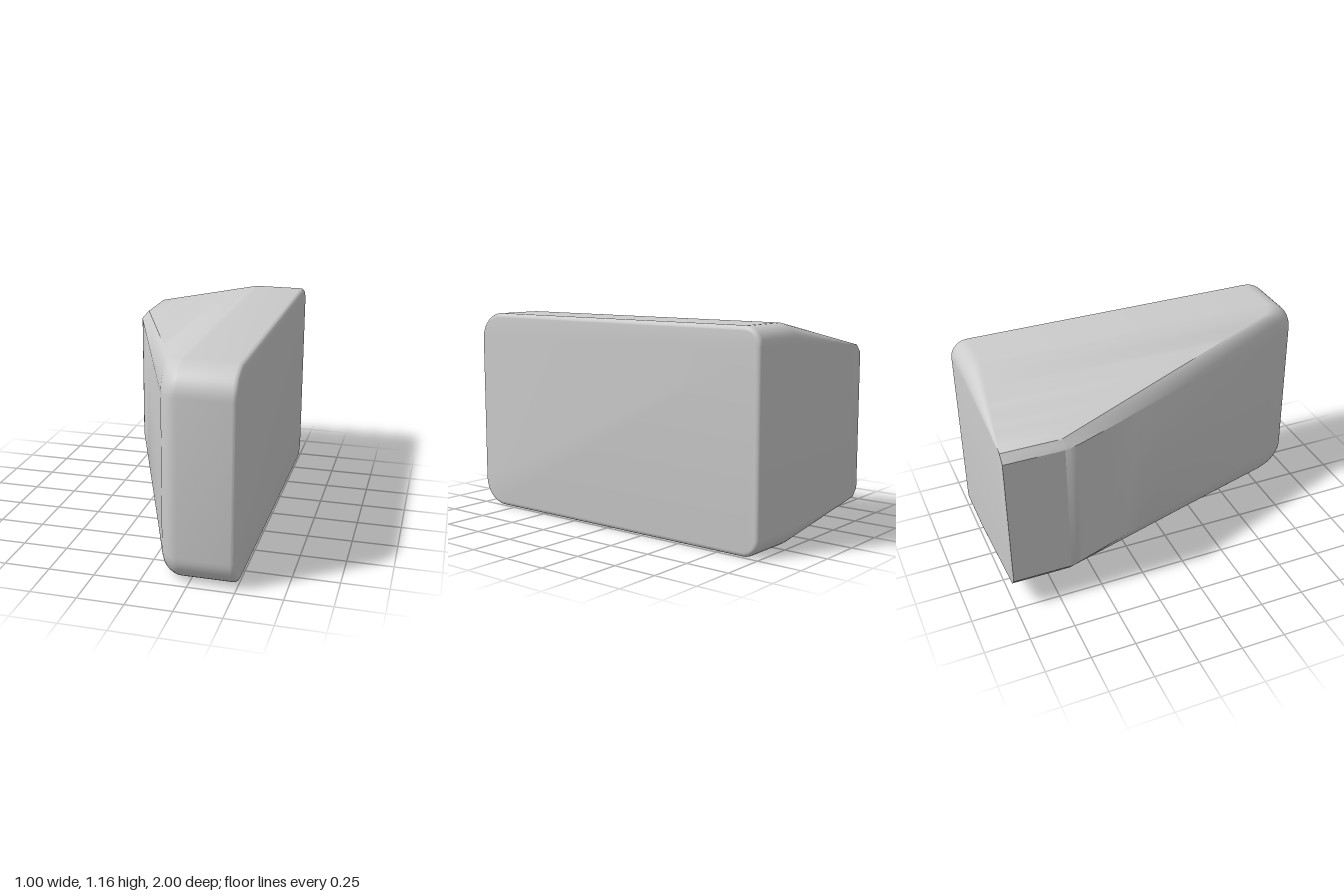
import * as THREE from 'three';
import { toCreasedNormals } from 'three/addons/utils/BufferGeometryUtils.js';

const MID = 0.58;      // mirror height of the body
const STEPS = 10;      // segments per rounded corner
const { lerp, clamp } = THREE.MathUtils;

// Plan outline of the sloping front as [x, z] stations
function frontOutline() {
  const pts = [[-0.5, -0.67], [-0.495, -0.643], [-0.48, -0.6], [-0.46, -0.547]];
  for (let i = 1; i <= 12; i++) {
    const x = lerp(-0.46, 0.09, i / 12);
    pts.push([x, -0.6 + (x + 0.48) * 2.63]);
  }
  const nose = new THREE.QuadraticBezierCurve(
    new THREE.Vector2(0.09, 0.899), new THREE.Vector2(0.125, 1), new THREE.Vector2(0.2, 1));
  nose.getPoints(12).slice(1).forEach(p => pts.push([p.x, p.y]));
  return pts;
}

// Cross-section at x: large at +x, narrowing towards the chamfered -x end
function section(x, zFront, inset = 0) {
  const tip = clamp((x + 0.5) / 0.04, 0, 1);      // end chamfer
  const t = clamp((x + 0.46) / 0.65, 0, 1);       // taper
  const top = (tip < 1 ? lerp(0.965, 1.01, tip) : lerp(1.01, 1.16, t)) - inset;
  const zf = zFront - inset, zb = -1 + inset;
  const rb = Math.max(0.1 * t - inset, 0);
  const rz = lerp(0.125, 0.155, t) * tip - inset;
  const ry = lerp(0.045, 0.155, t) * tip - inset;
  const upper = [];
  for (let i = 0; i <= STEPS; i++) {              // back corner
    const a = i / STEPS * Math.PI / 2;
    upper.push([zb + rb * (1 - Math.cos(a)), top - rb * (1 - Math.sin(a))]);
  }
  for (let i = 0; i <= STEPS; i++) {              // front corner, flat chamfer turning round
    const s = i / STEPS, a = s * Math.PI / 2;
    const u = lerp(s, Math.sin(a), t), v = lerp(s, 1 - Math.cos(a), t);
    upper.push([zf - rz * (1 - u), top - ry * v]);
  }
  const lower = upper.map(([z, y]) => [z, 2 * MID - y]).reverse();
  return [...upper, ...lower].map(([z, y]) => [x, y, z]);
}

// Skin the rings and close both ends
function loft(rings) {
  const n = rings[0].length, pos = rings.flat(2), index = [];
  for (let i = 0; i < rings.length - 1; i++) {
    for (let j = 0; j < n; j++) {
      const k = (j + 1) % n;
      const a = i * n + j, b = a + n, c = i * n + k, d = c + n;
      index.push(a, c, b, b, c, d);
    }
  }
  const last = (rings.length - 1) * n;
  for (let j = 1; j < n - 1; j++) {
    index.push(0, j + 1, j);
    index.push(last, last + j, last + j + 1);
  }
  const geo = new THREE.BufferGeometry();
  geo.setAttribute('position', new THREE.Float32BufferAttribute(pos, 3));
  geo.setIndex(index);
  return toCreasedNormals(geo, 0.5);
}

export function createModel() {
  const group = new THREE.Group();
  group.name = 'wedgeBlock';

  const rings = frontOutline().map(([x, z]) => section(x, z));
  // Small rounded rim around the large flat side
  const r = 0.025;
  for (let i = 0; i <= 6; i++) {
    const a = i / 6 * Math.PI / 2;
    rings.push(section(0.5 - r + r * Math.sin(a), 1, r * (1 - Math.cos(a))));
  }

  const body = new THREE.Mesh(loft(rings), new THREE.MeshStandardMaterial({ color: 0xcccccc }));
  body.name = 'body';
  group.add(body);
  return group;
}
